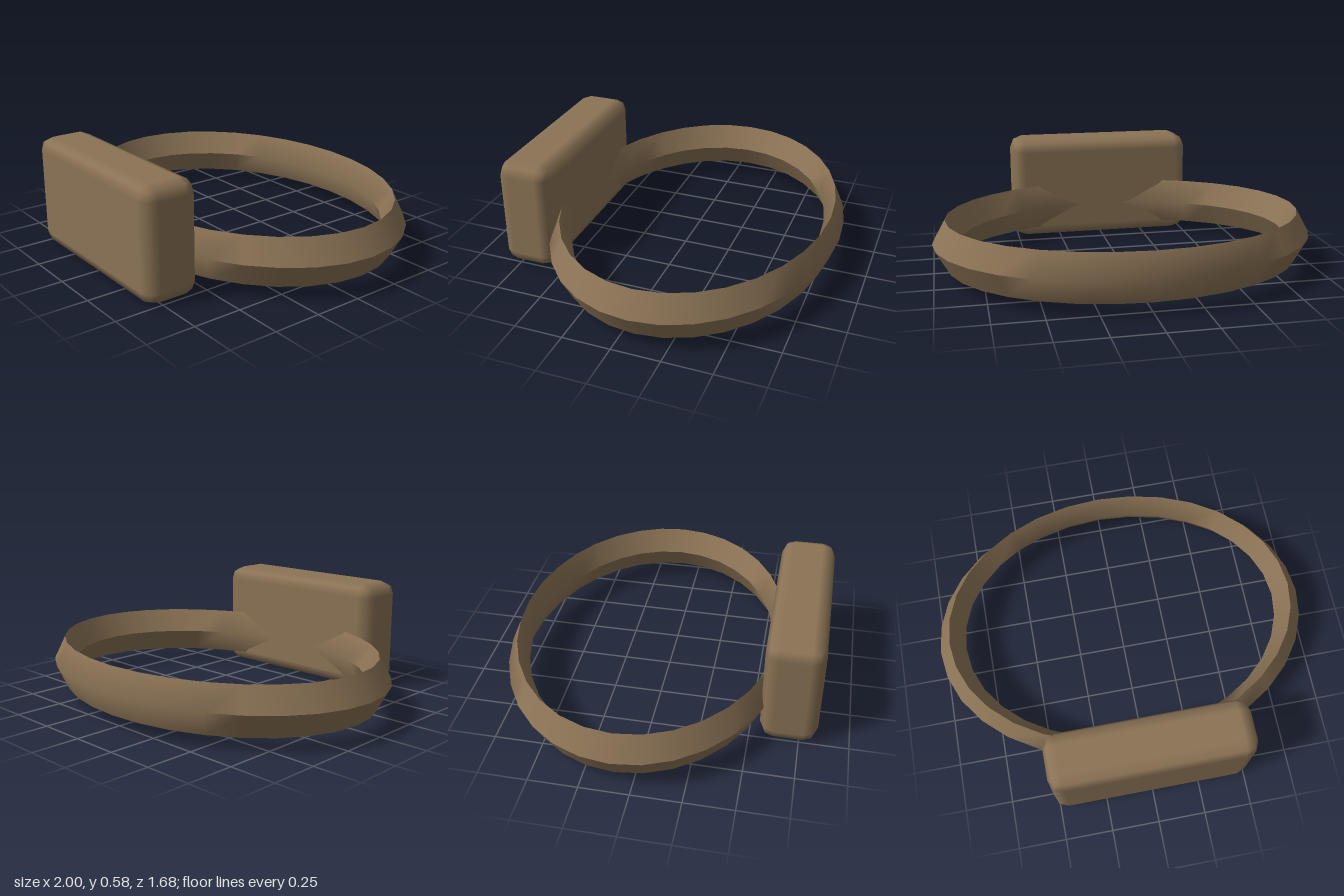
import * as THREE from 'three';
import { RoundedBoxGeometry } from 'three/addons/geometries/RoundedBoxGeometry.js';

// Oval band with a diamond cross-section: smooth around its length, creased at
// the top and bottom; the outer and inner ridges soften toward front and back.
function bandGeometry(radius, thick, high, depthScale, segments) {
  const positions = [], normals = [], indices = [];
  for (let side = 0; side < 4; side++) {
    const first = positions.length / 3;
    const facing = (side + 0.5) * Math.PI / 2;
    const nx = Math.sign(Math.cos(facing)) / thick;
    const ny = Math.sign(Math.sin(facing)) / high;
    for (let i = 0; i <= segments; i++) {
      const t = i / segments * Math.PI * 2;
      for (let k = 0; k < 2; k++) {
        const phi = (side + k) * Math.PI / 2;
        const r = radius + thick * Math.cos(phi);
        positions.push(r * Math.cos(t), high * Math.sin(phi), r * depthScale * Math.sin(t));
        const onRidge = (side + k) % 2 === 0;
        const soft = onRidge && Math.abs(Math.sin(t)) > 0.75;
        const n = new THREE.Vector3(nx * Math.cos(t), soft ? 0 : ny, nx * Math.sin(t) / depthScale);
        normals.push(...n.normalize().toArray());
      }
      if (i < segments) {
        const a = first + i * 2;
        indices.push(a, a + 1, a + 2, a + 1, a + 3, a + 2);
      }
    }
  }
  const geometry = new THREE.BufferGeometry();
  geometry.setAttribute('position', new THREE.Float32BufferAttribute(positions, 3));
  geometry.setAttribute('normal', new THREE.Float32BufferAttribute(normals, 3));
  geometry.setIndex(indices);
  return geometry;
}

export function createModel() {
  const group = new THREE.Group();
  const brown = new THREE.MeshStandardMaterial({ color: 0x8b7355 });
  brown.name = 'brown';

  // Band
  const band = new THREE.Mesh(bandGeometry(0.93, 0.07, 0.125, 0.753, 32), brown);
  band.name = 'band';
  band.position.set(0, 0.188, -0.09);
  group.add(band);

  // Rounded block on the front of the band
  const block = new THREE.Mesh(new RoundedBoxGeometry(1.044, 0.582, 0.29, 1, 0.07), brown);
  block.name = 'frontBlock';
  block.position.set(0, 0.291, 0.694);
  group.add(block);

  return group;
}
